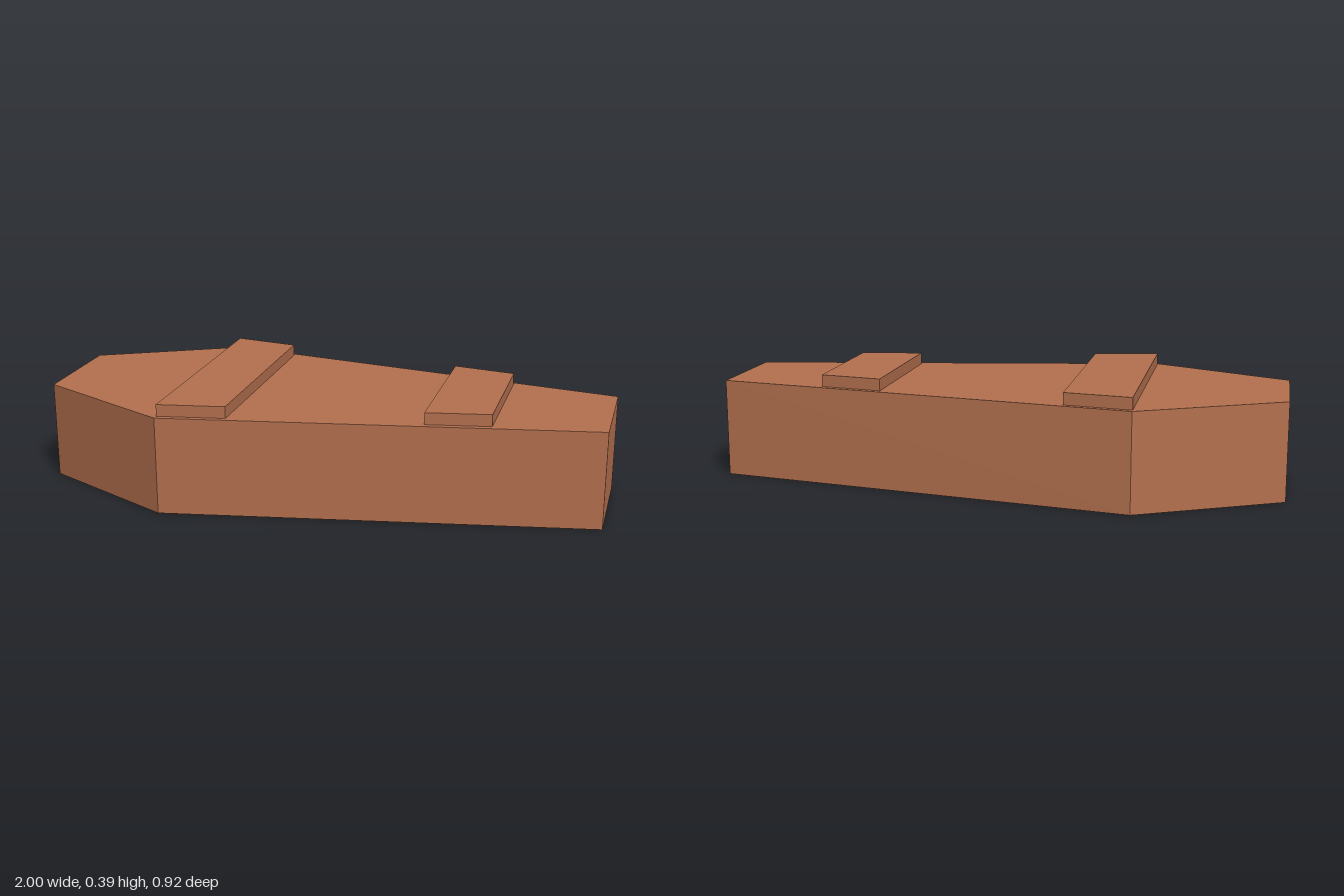
import * as THREE from 'three';

// Upright prism, symmetric about z = 0, from [x, halfDepth] stations
function prism(name, stations, bottom, top, material) {
  const near = stations.map(([x, d]) => new THREE.Vector2(x, -d));
  const far = stations.map(([x, d]) => new THREE.Vector2(x, d)).reverse();
  const geometry = new THREE.ExtrudeGeometry(new THREE.Shape([...near, ...far]), {
    depth: top - bottom,
    bevelEnabled: false,
  });
  geometry.rotateX(-Math.PI / 2);
  geometry.translate(0, bottom, 0);
  const mesh = new THREE.Mesh(geometry, material);
  mesh.name = name;
  return mesh;
}

export function createModel() {
  const group = new THREE.Group();
  group.name = 'coffin';
  const wood = new THREE.MeshStandardMaterial({ color: 0xb5714f, flatShading: true });
  wood.name = 'reddish brown wood';

  // Six-sided box, widest at the shoulders
  group.add(prism('coffinBody', [[-1, 0.2], [-0.5, 0.46], [1, 0.2]], 0, 0.348, wood));

  // Raised bands across the lid, tapering with the sides
  group.add(prism('shoulderBand', [[-0.5, 0.44], [-0.265, 0.4]], 0.348, 0.39, wood));
  group.add(prism('footBand', [[0.397, 0.284], [0.62, 0.244]], 0.348, 0.39, wood));

  return group;
}
